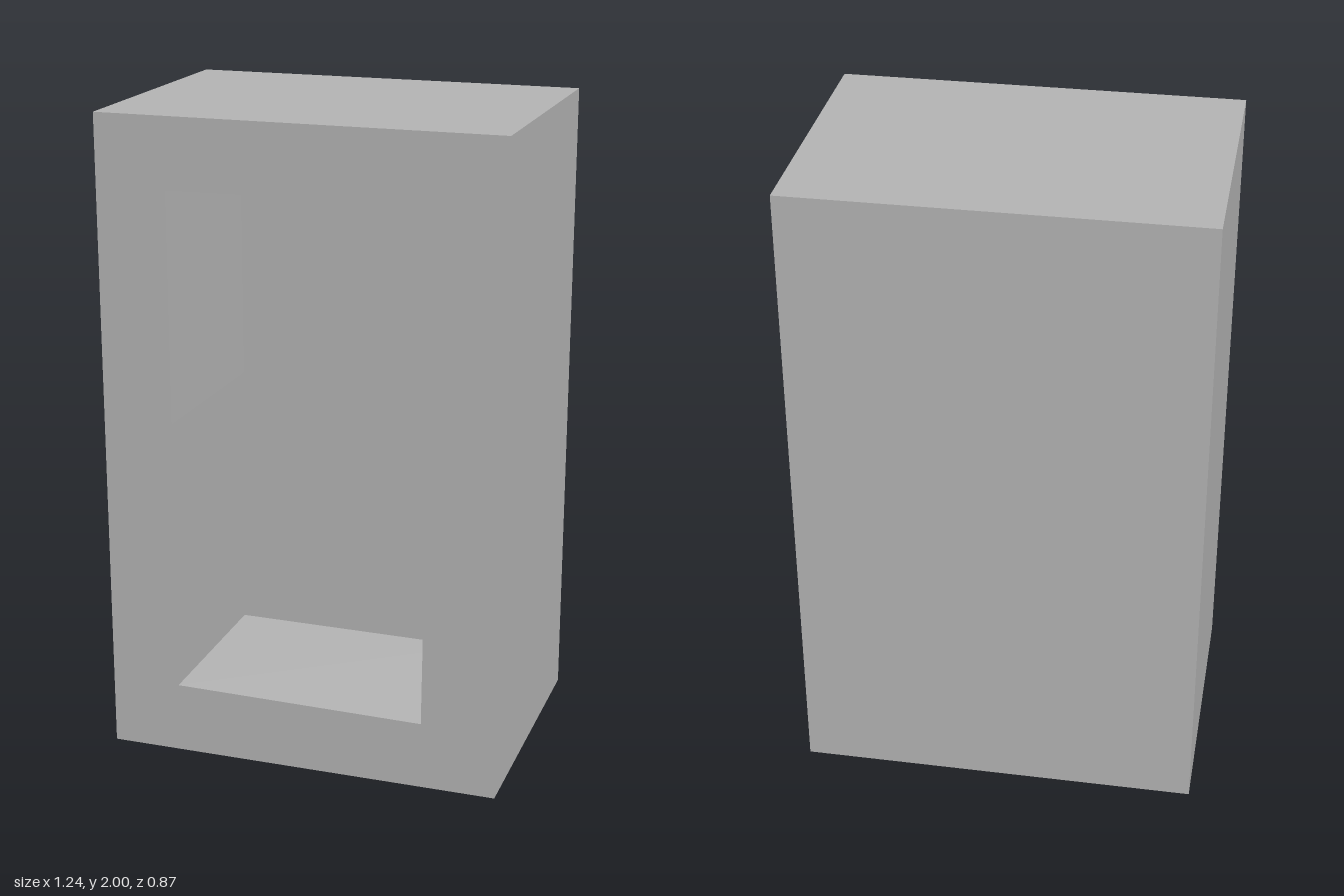
import * as THREE from 'three';

const W = 1.236, H = 2, D = 0.866, FRONT = D / 2, BACK = -0.14;

// Opening outline on the front face and the matching outline on the niche's back wall
const rim = [[-0.4, 0.22], [0.386, 0.21], [0.394, 1.0], [0.397, 1.3], [0.386, 1.795], [-0.4, 1.785], [-0.4, 1.075], [-0.4, 1.075]];
const rear = [[-0.4, 0.22], [0.386, 0.217], [0.386, 1.0], [0.386, 1.3], [0.386, 1.787], [-0.388, 1.785], [-0.388, 1.075], [-0.4, 1.075]];
const toPoints = (list) => list.map(([x, y]) => new THREE.Vector2(x, y));

// Inward-facing walls between two outlines
function nicheWalls(front, back) {
  const pos = [];
  front.forEach((f, i) => {
    const j = (i + 1) % front.length;
    const a = [...f, FRONT], b = [...front[j], FRONT];
    const c = [...back[j], BACK], d = [...back[i], BACK];
    pos.push(...a, ...b, ...c, ...a, ...c, ...d);
  });
  const geo = new THREE.BufferGeometry();
  geo.setAttribute('position', new THREE.Float32BufferAttribute(pos, 3));
  geo.computeVertexNormals();
  return geo;
}

export function createModel() {
  const group = new THREE.Group();
  group.name = 'cabinet';
  const grey = new THREE.MeshStandardMaterial({ color: 0xb4b4b4 });
  grey.name = 'grey';
  const add = (name, geo) => {
    const mesh = new THREE.Mesh(geo, grey);
    mesh.name = name;
    group.add(mesh);
    return mesh;
  };

  // Outer casing: a box without its front face
  const casing = new THREE.BoxGeometry(W, H, D);
  const index = Array.from(casing.index.array);
  index.splice(24, 6);
  casing.setIndex(index);
  casing.clearGroups();
  add('casing', casing).position.y = H / 2;

  // Front face with the opening cut out
  const face = new THREE.Shape(toPoints([[-W / 2, 0], [W / 2, 0], [W / 2, H], [-W / 2, H]]));
  face.holes.push(new THREE.Path(toPoints(rim.slice(0, 7))));
  add('frontFrame', new THREE.ShapeGeometry(face)).position.z = FRONT;

  // Niche: side walls with a slight lip on the upper left, and the back wall
  const walls = nicheWalls(rim, rear);
  add('nicheWalls', walls);
  add('nicheBack', new THREE.ShapeGeometry(new THREE.Shape(toPoints(rear)))).position.z = BACK;

  return group;
}
